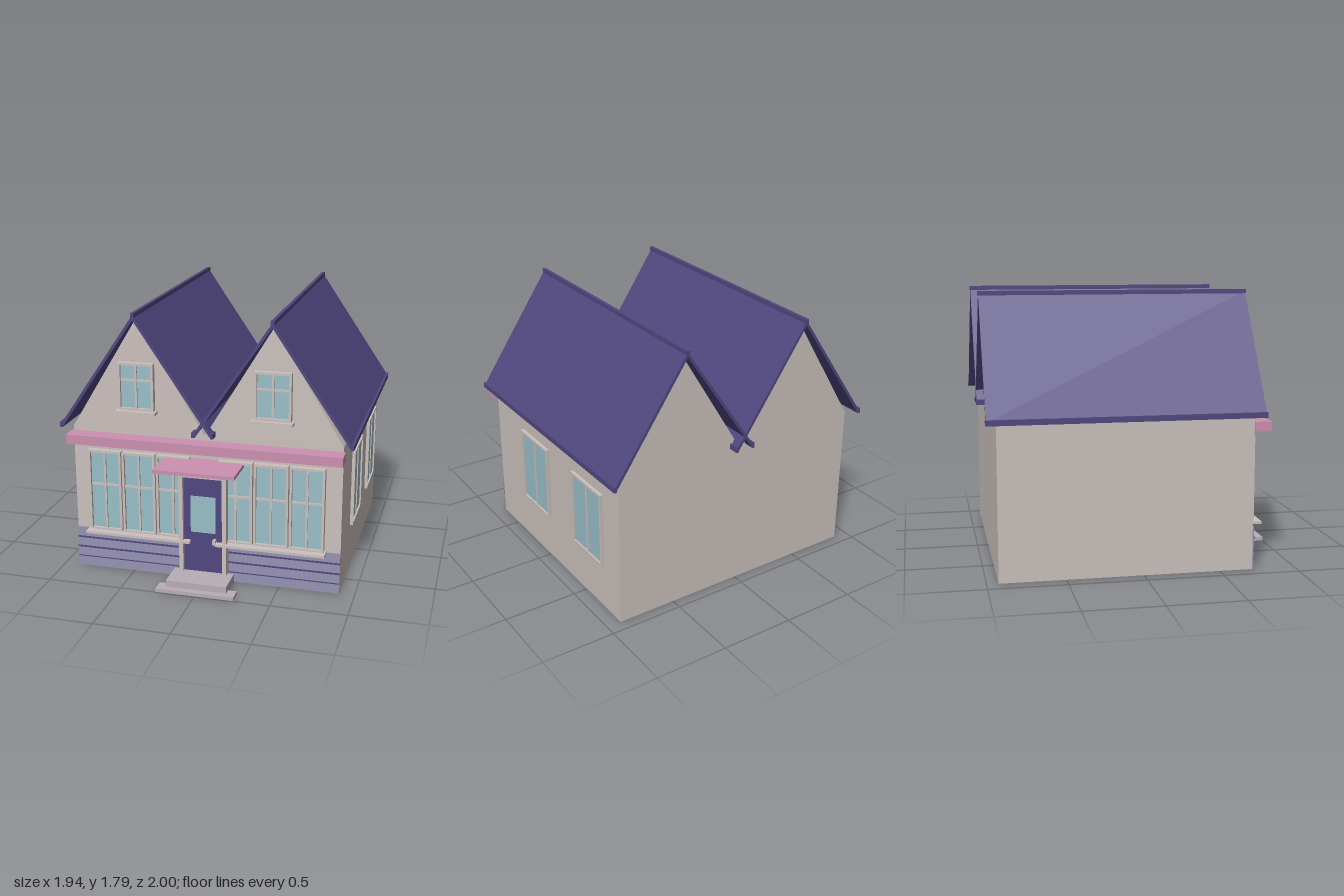
import * as THREE from 'three';

const mat = (name, color) => {
  const m = new THREE.MeshStandardMaterial({ color });
  m.name = name;
  return m;
};

export function createModel() {
  const wall = mat('warm grey wall', 0xcbc1bd);
  const roofPaint = mat('indigo roof', 0x50477f);
  const siding = mat('lilac siding', 0x9692b2);
  const pink = mat('pink trim', 0xcd90b1);
  const glass = mat('blue glass', 0x99bec8);
  const stone = mat('step stone', 0xb8adb5);

  const house = new THREE.Group();
  house.name = 'house';

  // Box given by its limits on each axis
  const box = (parent, name, material, [x0, x1], [y0, y1], [z0, z1]) => {
    const mesh = new THREE.Mesh(new THREE.BoxGeometry(x1 - x0, y1 - y0, z1 - z0), material);
    mesh.position.set((x0 + x1) / 2, (y0 + y1) / 2, (z0 + z1) / 2);
    mesh.name = name;
    parent.add(mesh);
    return mesh;
  };

  // Outline in x and y, extruded along z
  const prism = (parent, name, material, points, z0, z1) => {
    const shape = new THREE.Shape(points.map(([x, y]) => new THREE.Vector2(x, y)));
    const geometry = new THREE.ExtrudeGeometry(shape, { depth: z1 - z0, bevelEnabled: false });
    const mesh = new THREE.Mesh(geometry, material);
    mesh.position.z = z0;
    mesh.name = name;
    parent.add(mesh);
    return mesh;
  };

  // Window with its back at z = 0 and its lower edge at y = 0
  const makeWindow = (name, width, height, depth, transom) => {
    const group = new THREE.Group();
    group.name = name;
    const w = width / 2, b = 0.016, m = 0.007;
    box(group, 'windowGlass', glass, [-w + b, w - b], [b, height - b], [0, depth * 0.5]);
    for (const s of [-1, 1]) {
      const x = s * (w - b / 2);
      box(group, 'windowJamb', wall, [x - b / 2, x + b / 2], [0, height], [0, depth]);
    }
    box(group, 'windowBottomRail', wall, [-w + b, w - b], [0, b], [0, depth]);
    box(group, 'windowTopRail', wall, [-w + b, w - b], [height - b, height], [0, depth]);
    box(group, 'windowMullion', wall, [-m, m], [b, height - b], [0, depth * 0.8]);
    if (transom) {
      box(group, 'windowTransom', wall, [-w + b, w - b], [transom - m, transom + m], [0, depth * 0.75]);
    }
    house.add(group);
    return group;
  };

  // Walls with twin gables
  prism(house, 'walls', wall,
    [[-0.9, 0], [0.9, 0], [0.9, 1], [0.45, 1.74], [0, 1], [-0.9 + 0.45, 1.74], [-0.9, 1]],
    -0.925, 0.715);

  // Two steep roofs, each with two slabs, eave trims and a ridge cap
  const zr = [-0.99, 0.775];
  for (const cx of [-0.45, 0.45]) {
    const roof = new THREE.Group();
    roof.name = cx < 0 ? 'rightRoof' : 'leftRoof';
    roof.position.x = cx;
    for (const s of [-1, 1]) {
      const slab = [[0, 1.778], [0, 1.745], [s * 0.498, 1.012], [s * 0.515, 1.022]];
      prism(roof, 'roofSlab', roofPaint, s < 0 ? slab : slab.reverse(), ...zr);
      const x = s * 0.512;
      box(roof, 'eaveTrim', roofPaint, [x - 0.009, x + 0.009], [1.003, 1.038], [-0.995, 0.78]);
    }
    box(roof, 'ridgeCap', roofPaint, [-0.011, 0.011], [1.762, 1.79], [-0.995, 0.78]);
    house.add(roof);
  }

  // Board siding with dark grooves
  box(house, 'siding', siding, [-0.9, 0.9], [0, 0.28], [0.715, 0.724]);
  for (const y of [0.07, 0.14, 0.21]) {
    const h = y < 0.1 ? 0.0025 : 0.005;
    box(house, 'sidingGroove', roofPaint, [-0.9, 0.9], [y - h, y + h], [0.724, 0.73]);
  }

  // Shop windows, sills and gable windows
  for (const s of [-1, 1]) {
    for (const x of [0.21, 0.445, 0.68]) {
      makeWindow('shopWindow', 0.228, 0.565, 0.04, 0.325).position.set(s * x, 0.288, 0.715);
    }
    const sill = [0.085, 0.808];
    box(house, 'shopSill', wall, s < 0 ? [-sill[1], -sill[0]] : sill, [0.274, 0.291], [0.715, 0.805]);

    makeWindow('gableWindow', 0.238, 0.315, 0.035, 0.2).position.set(s * 0.45, 1.145, 0.715);
    box(house, 'gableSill', wall, [s * 0.45 - 0.135, s * 0.45 + 0.135], [1.125, 1.145], [0.715, 0.78]);
  }

  // Two windows in the left wall
  for (const z of [0.145, -0.553]) {
    const side = makeWindow('sideWindow', 0.368, 0.522, 0.022, 0);
    side.position.set(0.9, 0.32, z);
    side.rotation.y = Math.PI / 2;
  }

  // Door with frame, pane and handle
  box(house, 'door', roofPaint, [-0.135, 0.135], [0.04, 0.738], [0.715, 0.765]);
  box(house, 'doorGlass', glass, [-0.085, 0.083], [0.35, 0.602], [0.765, 0.77]);
  for (const s of [-1, 1]) {
    box(house, 'doorJamb', wall, [s * 0.146 - 0.014, s * 0.146 + 0.014], [0.04, 0.735], [0.715, 0.793]);
  }
  box(house, 'doorLintel', wall, [-0.16, 0.16], [0.735, 0.763], [0.715, 0.793]);
  box(house, 'doorHandle', wall, [0.069, 0.087], [0.282, 0.312], [0.765, 0.8]);

  // Pink fascia and door canopy
  box(house, 'fascia', pink, [-0.913, 0.913], [0.907, 0.97], [0.715, 0.825]);
  box(house, 'doorCanopy', pink, [-0.266, 0.266], [0.822, 0.845], [0.715, 0.993]);

  // Entrance steps
  box(house, 'upperStep', stone, [-0.203, 0.203], [0.006, 0.07], [0.755, 0.955]);
  box(house, 'lowerStep', stone, [-0.262, 0.262], [0.002, 0.026], [0.905, 1.0]);

  return house;
}
